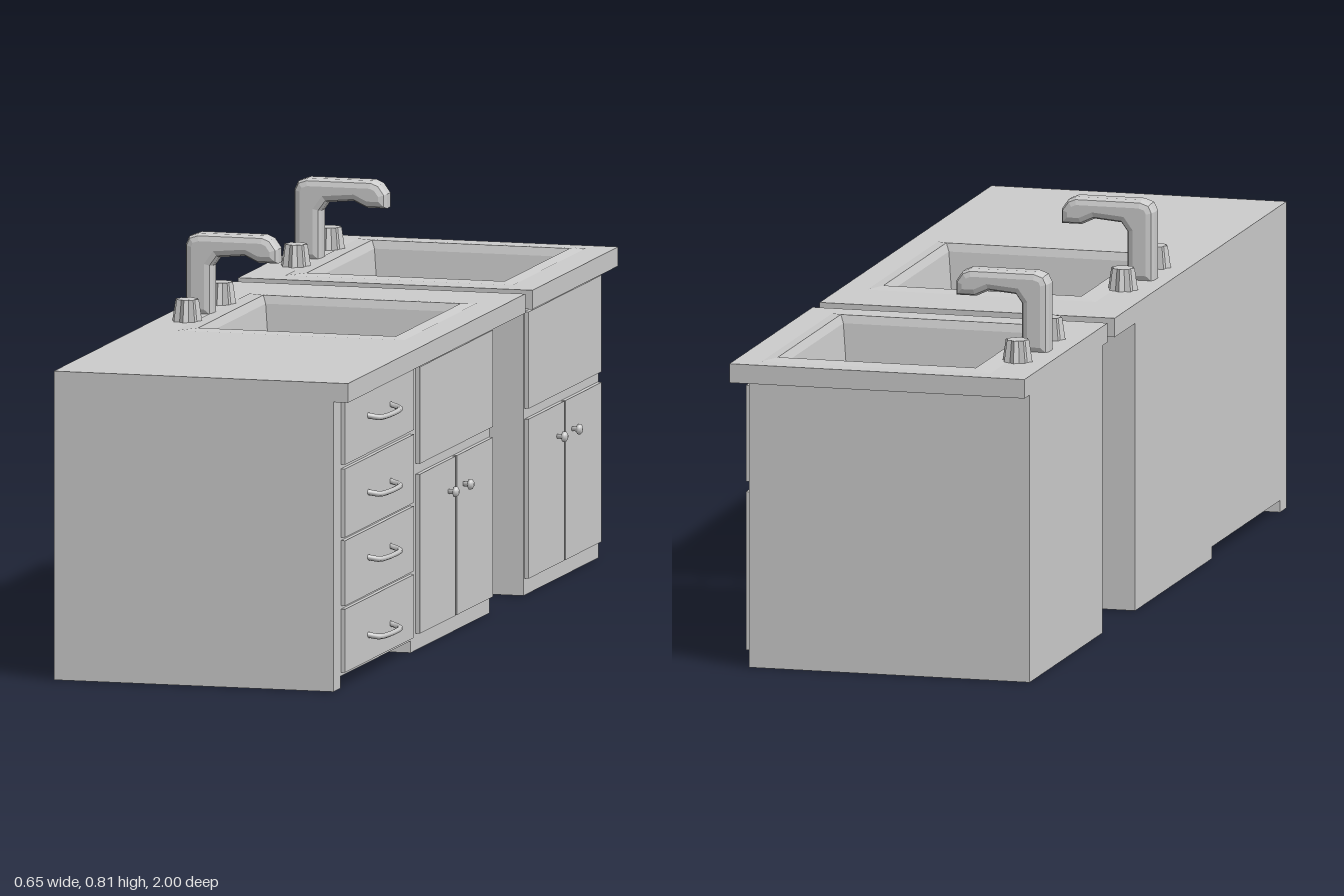
import * as THREE from 'three';

const grey = new THREE.MeshStandardMaterial({ color: 0xcccccc });
grey.name = 'light grey';

function add(parent, name, geometry) {
  const mesh = new THREE.Mesh(geometry, grey);
  mesh.name = name;
  parent.add(mesh);
  return mesh;
}

// Box given by its limits on each axis
function block(x0, x1, y0, y1, z0, z1) {
  return new THREE.BoxGeometry(x1 - x0, y1 - y0, z1 - z0)
    .translate((x0 + x1) / 2, (y0 + y1) / 2, (z0 + z1) / 2);
}

// Cabinet body without a top face, so the basin can hang inside it
function openBlock(...limits) {
  const g = block(...limits);
  const index = Array.from(g.index.array);
  index.splice(12, 6);
  g.setIndex(index);
  g.clearGroups();
  return g;
}

function rect(Type, x0, x1, z0, z1) {
  return new Type([[x0, z0], [x1, z0], [x1, z1], [x0, z1]].map(p => new THREE.Vector2(...p)));
}

// Slab with a sink opening
function countertop(z0, z1) {
  const shape = rect(THREE.Shape, -0.325, 0.308, z0, z1);
  shape.holes.push(rect(THREE.Path, -0.21, 0.235, -0.13, 0.37));
  return new THREE.ExtrudeGeometry(shape, { depth: 0.04, bevelEnabled: false })
    .rotateX(Math.PI / 2).translate(0, 0.645, 0);
}

// Basin lofted through rectangular rings: x0, x1, z0, z1, y
function basinGeometry() {
  const rings = [
    [-0.24, 0.25, -0.155, 0.385, 0.6455],
    [-0.20, 0.225, -0.12, 0.36, 0.649],
    [-0.193, 0.218, -0.114, 0.354, 0.632],
    [-0.18, 0.205, -0.10, 0.34, 0.50],
    [-0.15, 0.175, -0.07, 0.31, 0.465],
  ];
  const pos = [], index = [];
  for (const [x0, x1, z0, z1, y] of rings) pos.push(x0, y, z0, x1, y, z0, x1, y, z1, x0, y, z1);
  for (let r = 0; r < rings.length - 1; r++) {
    for (let k = 0; k < 4; k++) {
      const a = r * 4 + k, b = r * 4 + (k + 1) % 4, c = b + 4, d = a + 4;
      index.push(a, d, c, a, c, b);
    }
  }
  const f = (rings.length - 1) * 4;
  index.push(f, f + 3, f + 2, f, f + 2, f + 1);
  const g = new THREE.BufferGeometry();
  g.setAttribute('position', new THREE.Float32BufferAttribute(pos, 3));
  g.setIndex(index);
  const flat = g.toNonIndexed();
  flat.computeVertexNormals();
  return flat;
}

// Hooked spout: side outline with chamfered edges
function faucetGeometry() {
  const b = 0.015;
  const outline = [
    [-0.293, 0.64], [-0.235, 0.64], [-0.235, 0.745], [-0.222, 0.763], [-0.165, 0.768],
    [-0.137, 0.755], [-0.094, 0.755], [-0.094, 0.785], [-0.108, 0.805], [-0.125, 0.812],
    [-0.265, 0.812], [-0.285, 0.805], [-0.293, 0.788],
  ].map(p => new THREE.Vector2(...p));
  return new THREE.ExtrudeGeometry(new THREE.Shape(outline), {
    depth: 0.055 - 2 * b, bevelThickness: b, bevelSize: b, bevelOffset: -b, bevelSegments: 2,
  }).translate(0, 0, 0.12 - 0.0275 + b);
}

// Tap knob: tapered cylinder with notched sides
function tapGeometry() {
  const g = new THREE.CylinderGeometry(0.025, 0.032, 0.046, 16, 1);
  const p = g.attributes.position;
  for (let i = 0; i < p.count; i++) {
    const step = Math.round(Math.atan2(p.getZ(i), p.getX(i)) / (Math.PI / 8));
    const s = step % 2 ? 0.8 : 1;
    p.setX(i, p.getX(i) * s);
    p.setZ(i, p.getZ(i) * s);
  }
  const flat = g.toNonIndexed();
  flat.computeVertexNormals();
  return flat;
}

// Sink cabinet with doors, basin and taps
function sinkUnit(name, counterZ0, counterZ1, bodyZ1) {
  const unit = new THREE.Group();
  unit.name = name;
  add(unit, 'sinkCabinet', openBlock(-0.325, 0.277, 0, 0.605, -0.155, bodyZ1));
  add(unit, 'countertop', countertop(counterZ0, counterZ1));
  add(unit, 'basin', basinGeometry());
  add(unit, 'faucet', faucetGeometry());
  for (const z of [-0.006, 0.246]) add(unit, 'tapKnob', tapGeometry()).position.set(-0.257, 0.668, z);

  // Front panel and pair of doors
  add(unit, 'frontPanel', block(0.27, 0.286, 0.39, 0.592, -0.148, 0.393));
  add(unit, 'rightDoor', block(0.27, 0.286, 0.035, 0.368, -0.148, 0.119));
  add(unit, 'leftDoor', block(0.27, 0.286, 0.035, 0.368, 0.127, 0.393));
  const knob = [[0, 0], [0.005, 0], [0.005, 0.01], [0.011, 0.013], [0.011, 0.019], [0.006, 0.023], [0, 0.023]]
    .map(p => new THREE.Vector2(...p));
  for (const z of [0.07, 0.18]) {
    const m = add(unit, 'doorKnob', new THREE.LatheGeometry(knob, 10));
    m.rotation.z = -Math.PI / 2;
    m.position.set(0.285, 0.302, z);
  }
  return unit;
}

export function createModel() {
  const model = new THREE.Group();
  model.name = 'kitchenCounters';

  const long = sinkUnit('longCounter', -0.312, 1, 0.43);
  model.add(long);
  const short = sinkUnit('shortCounter', -0.195, 0.44, 0.40);
  short.position.z = -0.805;
  model.add(short);

  // Drawer section and end panel of the long counter
  add(long, 'drawerCabinet', block(-0.325, 0.277, 0.025, 0.605, 0.43, 0.95));
  add(long, 'endPanel', block(-0.325, 0.277, 0, 0.605, 0.95, 1));
  const drawers = [[0.033, 0.165, 0.085], [0.172, 0.308, 0.247], [0.315, 0.458, 0.383], [0.467, 0.597, 0.543]];
  for (const [y0, y1, handleY] of drawers) {
    add(long, 'drawerFront', block(0.27, 0.286, y0, y1, 0.435, 0.945));
    const path = new THREE.CatmullRomCurve3([
      [0.283, 0.003, 0.608], [0.306, -0.002, 0.618], [0.316, -0.002, 0.645],
      [0.316, -0.002, 0.735], [0.306, -0.002, 0.765], [0.283, 0.003, 0.775],
    ].map(([x, y, z]) => new THREE.Vector3(x, handleY + y, z)));
    add(long, 'drawerHandle', new THREE.TubeGeometry(path, 16, 0.006, 6));
  }
  return model;
}
